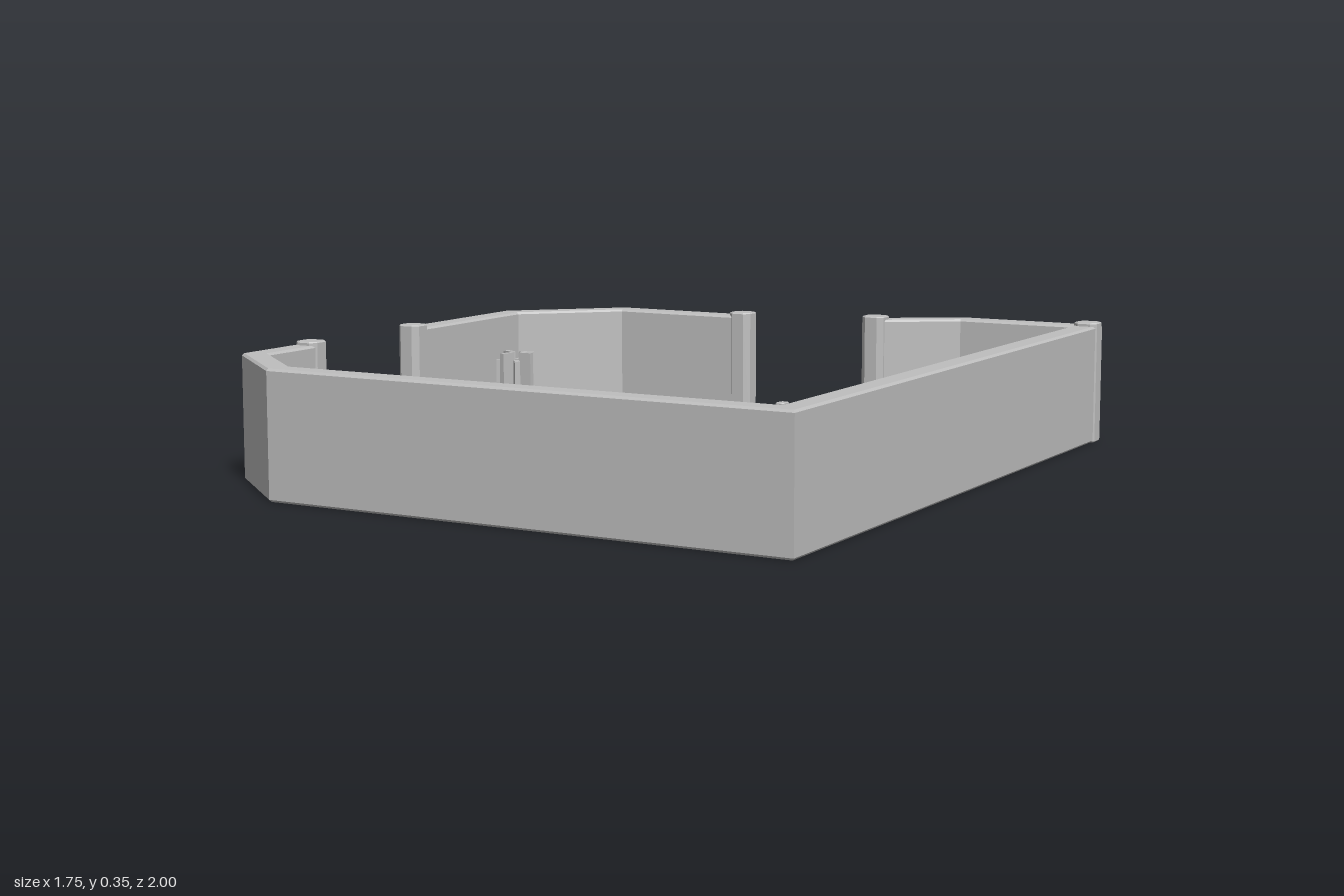
import * as THREE from 'three';

const grey = new THREE.MeshStandardMaterial({ color: 0xbfbfbf, flatShading: true });
grey.name = 'plain grey';

// Vertical prism over a plan outline of [x, z] points, with softened edges
function prism(name, outline, y0, y1, bevel = 0.006) {
  const shape = new THREE.Shape(outline.map(([x, z]) => new THREE.Vector2(x, z)));
  const geo = new THREE.ExtrudeGeometry(shape, {
    depth: y1 - y0 - 2 * bevel, bevelEnabled: bevel > 0, bevelThickness: bevel,
    bevelSize: bevel, bevelOffset: -bevel, bevelSegments: 1,
  });
  geo.rotateX(Math.PI / 2).translate(0, y1 - bevel, 0);
  const mesh = new THREE.Mesh(geo, grey);
  mesh.name = name;
  return mesh;
}

// Rectangle with cut corners
function cutRect(w, d, c, cx = 0, cz = 0) {
  const a = w / 2, b = d / 2;
  return [[a - c, -b], [a, -b + c], [a, b - c], [a - c, b], [-a + c, b], [-a, b - c], [-a, -b + c], [-a + c, -b]]
    .map(([x, z]) => [x + cx, z + cz]);
}

function cylinder(name, rTop, rBottom, y0, y1, x = 0, z = 0, sides = 16) {
  const mesh = new THREE.Mesh(new THREE.CylinderGeometry(rTop, rBottom, y1 - y0, sides), grey);
  mesh.position.set(x, (y0 + y1) / 2, z);
  mesh.name = name;
  return mesh;
}

// Wall of constant thickness with mitred bends along a plan path
function wall(name, path, t = 0.066) {
  const pts = path.map((p) => new THREE.Vector2(...p));
  const left = [], right = [];
  pts.forEach((p, i) => {
    const before = p.clone().sub(pts[Math.max(i - 1, 0)]).normalize();
    const after = pts[Math.min(i + 1, pts.length - 1)].clone().sub(p).normalize();
    const along = before.clone().add(after).normalize();
    const ref = i === 0 ? after : before;
    const m = t / 2 / along.dot(ref);
    left.push([p.x - along.y * m, p.y + along.x * m]);
    right.unshift([p.x + along.y * m, p.y - along.x * m]);
  });
  return prism(name, [...left, ...right], 0, 0.34);
}

// Sofa facing +z
function sofa(x, z, turn) {
  const g = new THREE.Group();
  g.name = 'sofa';
  g.add(prism('seatBase', cutRect(0.49, 0.235, 0.03, 0, 0.002), 0, 0.09));
  g.add(prism('backrest', cutRect(0.53, 0.08, 0.028, 0, -0.085), 0.03, 0.2, 0.012));
  for (const s of [-1, 1]) {
    g.add(prism('armrest', cutRect(0.05, 0.185, 0.015, s * 0.245, 0.03), 0.05, 0.135, 0.01));
  }
  g.position.set(x, 0, z);
  g.rotation.y = turn;
  return g;
}

function table(x, z) {
  const g = new THREE.Group();
  g.name = 'table';
  g.add(prism('tableTop', cutRect(0.27, 0.18, 0.045), 0.1, 0.125, 0.003));
  g.add(cylinder('tableLeg', 0.038, 0.038, 0, 0.1));
  g.add(prism('centrepiece', cutRect(0.028, 0.04, 0.006), 0.125, 0.15, 0.002));
  for (const s of [-1, 1]) g.add(cylinder('coaster', 0.018, 0.018, 0.125, 0.131, s * 0.08));
  g.position.set(x, 0, z);
  return g;
}

function plant(x, z) {
  const g = new THREE.Group();
  g.name = 'pottedPlant';
  g.add(cylinder('pot', 0.07, 0.063, 0, 0.13, 0, 0, 20));
  // Ring of upright leaves
  for (let i = 0; i < 7; i++) {
    const a = (i / 7) * Math.PI * 2;
    const leaf = new THREE.Mesh(new THREE.BoxGeometry(0.042, i % 2 ? 0.1 : 0.125, 0.016), grey);
    leaf.position.set(Math.cos(a) * 0.036, i % 2 ? 0.17 : 0.18, Math.sin(a) * 0.036);
    leaf.rotation.y = -a;
    leaf.name = 'leaf';
    g.add(leaf);
  }
  g.position.set(x, 0, z);
  return g;
}

export function createModel() {
  const model = new THREE.Group();
  model.name = 'loungeRoom';

  // Enclosing walls with two openings
  model.add(wall('backLeftWall', [[-0.17, -0.72], [-0.59, -0.72], [-0.842, -0.47], [-0.842, 0.05]]));
  model.add(wall('mainWall', [[-0.842, 0.52], [-0.842, 0.76], [-0.6, 0.967], [0.835, 0.967],
    [0.835, -0.967], [0.44, -0.967], [0.22, -0.82]]));

  // Posts at the wall ends and one corner
  for (const [x, z] of [[-0.17, -0.72], [-0.84, 0.052], [-0.84, 0.525], [0.225, -0.82], [0.837, -0.965]]) {
    model.add(prism('post', cutRect(0.07, 0.07, 0.016, x, z), 0, 0.35, 0.003));
  }

  model.add(sofa(0.405, -0.355, -1.3), sofa(-0.385, 0.462, -0.1), sofa(0.465, 0.435, 0.14));
  model.add(table(0.178, -0.3), table(-0.403, 0.692), table(0.495, 0.67));
  model.add(plant(-0.705, -0.28), plant(0.712, -0.742), plant(0.65, 0.825));
  return model;
}
